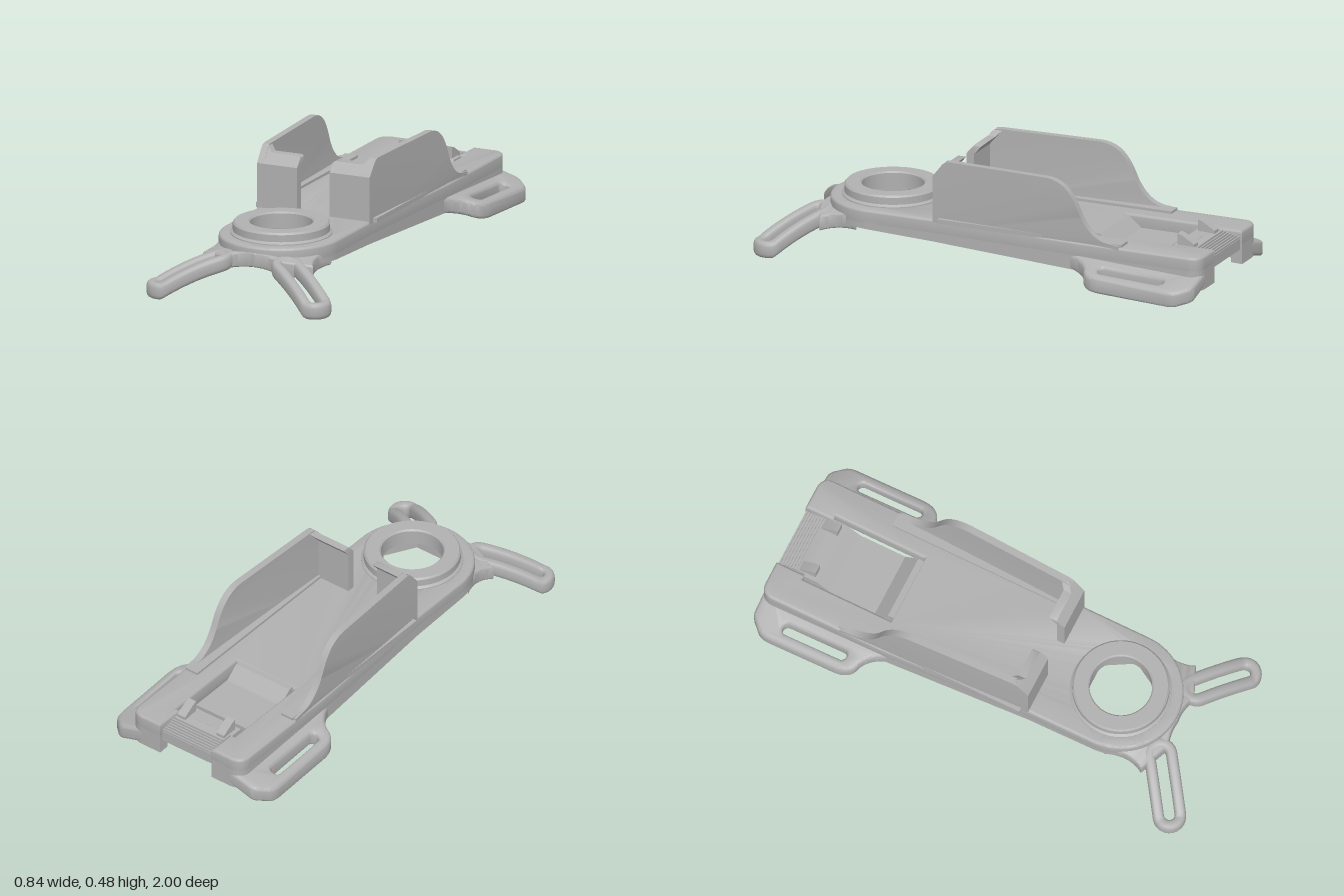
import * as THREE from 'three';
import { toCreasedNormals } from 'three/addons/utils/BufferGeometryUtils.js';

const grey = new THREE.MeshStandardMaterial({ color: 0xb0b0b0 });
grey.name = 'grey plastic';

// Move every vertex by a rule
function warp(geo, rule) {
  const p = geo.attributes.position, v = new THREE.Vector3();
  for (let i = 0; i < p.count; i++) {
    rule(v.fromBufferAttribute(p, i));
    p.setXYZ(i, v.x, v.y, v.z);
  }
  return geo;
}

// Mirror across x, keeping faces outward
function mirrored(geo) {
  const g = geo.index ? geo.toNonIndexed() : geo.clone();
  g.scale(-1, 1, 1);
  for (const a of Object.values(g.attributes)) {
    for (let i = 0; i < a.count; i += 3) {
      for (let k = 0; k < a.itemSize; k++) {
        const t = a.getComponent(i, k);
        a.setComponent(i, k, a.getComponent(i + 2, k));
        a.setComponent(i + 2, k, t);
      }
    }
  }
  return g;
}

// Plan shape (x, z) extruded between two heights
function plan(shape, y0, y1, bevel = 0) {
  const g = new THREE.ExtrudeGeometry(shape, {
    depth: y1 - y0 - 2 * bevel, curveSegments: 32, bevelEnabled: bevel > 0,
    bevelSize: bevel, bevelThickness: bevel, bevelOffset: -bevel, bevelSegments: 4,
  });
  return g.rotateX(Math.PI / 2).translate(0, y1 - bevel, 0);
}

// Side profile (z, y) extruded between two x positions
function side(shape, x0, x1) {
  const g = new THREE.ExtrudeGeometry(shape, { depth: x1 - x0, bevelEnabled: false, curveSegments: 16 });
  return g.rotateY(-Math.PI / 2).translate(x1, 0, 0);
}

const poly = (pts) => new THREE.Shape(pts.map(([a, b]) => new THREE.Vector2(a, b)));
const circle = (x, z, r) => new THREE.Path().absarc(x, z, r, 0, Math.PI * 2, false);

// Body outline with a stepped notch (half width, z pairs) at the back
function bodyShape(rear, step, inner, front) {
  const s = new THREE.Shape();
  s.moveTo(rear, -1);
  s.lineTo(0.23, -1);
  s.quadraticCurveTo(0.29, -1, 0.29, -0.94);
  s.lineTo(0.29, -0.45);
  s.lineTo(0.26, 0.23);
  s.lineTo(0.26, 0.53);
  s.absarc(0, 0.53, 0.26, 0, Math.PI, false);
  s.lineTo(-0.26, 0.23);
  s.lineTo(-0.29, -0.45);
  s.lineTo(-0.29, -0.94);
  s.quadraticCurveTo(-0.29, -1, -0.23, -1);
  for (const [x, z] of [[-rear, -1], [-rear, step], [-inner, step], [-inner, front],
    [inner, front], [inner, step], [rear, step]]) s.lineTo(x, z);
  s.closePath();
  s.holes.push(circle(0, 0.53, 0.19));
  return s;
}

const armDrop = (s) => 0.65 * Math.min(s, 0.45) ** 2;

// Rounded bar swept around a long slot, drooping toward the tip
function slottedArm() {
  const path = new THREE.Shape();
  path.absarc(0.43, 0, 0.046, -Math.PI / 2, Math.PI / 2, false);
  path.absarc(0.2, 0, 0.046, Math.PI / 2, Math.PI * 1.5, false);
  path.closePath();
  const n = 96, m = 20, pos = [], idx = [];
  const pts = path.getSpacedPoints(n).slice(0, n);
  const soft = (c) => Math.sign(c) * Math.abs(c) ** 0.7;
  for (let i = 0; i < n; i++) {
    const t = pts[(i + 1) % n].clone().sub(pts[(i + n - 1) % n]).normalize();
    for (let j = 0; j < m; j++) {
      const a = (j / m) * Math.PI * 2, w = 0.024 * soft(Math.cos(a));
      const s = pts[i].x + t.y * w;
      pos.push(s, 0.167 - armDrop(s) + 0.035 * soft(Math.sin(a)), pts[i].y - t.x * w);
      const i2 = ((i + 1) % n) * m, j2 = (j + 1) % m;
      idx.push(i * m + j, i * m + j2, i2 + j, i * m + j2, i2 + j2, i2 + j);
    }
  }
  const g = new THREE.BufferGeometry();
  g.setAttribute('position', new THREE.Float32BufferAttribute(pos, 3));
  g.setIndex(idx);
  g.computeVertexNormals();
  return g.rotateY(-0.62).translate(0, 0, 0.68);
}

export function createModel() {
  const model = new THREE.Group();
  const add = (name, geo, crease = 0.6) => {
    const mesh = new THREE.Mesh(crease ? toCreasedNormals(geo, crease) : geo, grey);
    mesh.name = name;
    model.add(mesh);
  };
  const addPair = (name, geo, crease) => {
    add(name + 'Left', geo, crease);
    add(name + 'Right', mirrored(geo), crease);
  };

  // Body: plain upper deck over a tapering lower shell with screw holes
  add('upperDeck', plan(bodyShape(0.135, -0.87, 0.155, -0.46), 0.15, 0.22, 0.012));
  const lower = bodyShape(0.135, -0.95, 0.19, -0.5);
  for (const x of [-0.13, 0.13]) for (const z of [0, -0.3]) lower.holes.push(circle(x, z, 0.016));
  add('lowerShell', warp(plan(lower, 0.1, 0.17), (v) => {
    if (v.y < 0.13) v.y = 0.115 + 0.04 * v.z;
  }));

  // Round collar with a hexagonal pocket beneath
  const ring = [[0.13, 0.2], [0.212, 0.2], [0.212, 0.224], [0.202, 0.232], [0.202, 0.262],
    [0.195, 0.27], [0.136, 0.27], [0.13, 0.264], [0.13, 0.2]];
  add('collar', new THREE.LatheGeometry(ring.map(([r, y]) => new THREE.Vector2(r, y)), 72)
    .translate(0, 0, 0.53));
  const pocket = new THREE.Shape().absarc(0, 0.53, 0.195, 0, Math.PI * 2, false);
  const hex = [];
  for (let i = 0; i < 6; i++) {
    const a = (i * Math.PI) / 3;
    hex.push(new THREE.Vector2(0.15 * Math.cos(a), 0.53 + 0.15 * Math.sin(a)));
  }
  pocket.holes.push(new THREE.Path(hex));
  add('hexPocket', plan(pocket, 0.165, 0.21));

  // Front arms and their root webs
  addPair('frontArm', slottedArm(), 0);
  const web = new THREE.Shape();
  web.moveTo(0.255, 0.58);
  web.quadraticCurveTo(0.212, 0.68, 0.255, 0.75);
  web.lineTo(0.12, 0.81);
  web.quadraticCurveTo(0.06, 0.785, 0, 0.795);
  web.lineTo(0, 0.74);
  web.lineTo(0.14, 0.68);
  web.closePath();
  addPair('armRoot', warp(plan(web, 0.135, 0.2, 0.01), (v) => {
    v.y -= armDrop(Math.max(0, v.x * 0.81 + (v.z - 0.68) * 0.58));
  }));

  // Side walls, flaring outward to the back
  const wall = new THREE.Shape();
  wall.moveTo(0.23, 0.17);
  wall.lineTo(0.23, 0.41);
  wall.lineTo(0.19, 0.46);
  wall.quadraticCurveTo(0.175, 0.48, 0.15, 0.48);
  wall.lineTo(-0.29, 0.48);
  wall.bezierCurveTo(-0.38, 0.48, -0.42, 0.42, -0.45, 0.35);
  wall.bezierCurveTo(-0.48, 0.28, -0.53, 0.23, -0.6, 0.23);
  wall.lineTo(-0.63, 0.225);
  wall.lineTo(-0.63, 0.17);
  wall.closePath();
  addPair('sideWall', warp(side(wall, 0.23, 0.26), (v) => {
    v.x += Math.min(0.03, (0.23 - v.z) * 0.044);
  }));

  // Front returns of the walls, leaning back at the top
  addPair('wallReturn', new THREE.BoxGeometry(0.177, 0.21, 0.035).translate(0.1635, 0.305, 0.2125));
  const cap = poly([[0.075, 0.41], [0.252, 0.41], [0.252, 0.48], [0.24, 0.48], [0.21, 0.452],
    [0.085, 0.452], [0.077, 0.447], [0.075, 0.44]]);
  const capGeo = new THREE.ExtrudeGeometry(cap, { depth: 0.035, bevelEnabled: false });
  addPair('returnTop', warp(capGeo.translate(0, 0, 0.195), (v) => { v.z -= (v.y - 0.41) * 0.86; }));

  // Low rails inside the walls
  addPair('innerRail', new THREE.BoxGeometry(0.06, 0.02, 0.84).translate(0.25, 0.221, -0.22));

  // Strap loops at the back
  const loop = new THREE.Shape();
  loop.moveTo(0.2, -1);
  loop.lineTo(0.33, -1);
  loop.quadraticCurveTo(0.355, -1, 0.375, -0.975);
  loop.lineTo(0.4, -0.95);
  loop.quadraticCurveTo(0.415, -0.93, 0.415, -0.9);
  loop.lineTo(0.415, -0.6);
  loop.quadraticCurveTo(0.415, -0.52, 0.36, -0.505);
  loop.quadraticCurveTo(0.31, -0.48, 0.288, -0.41);
  loop.lineTo(0.2, -0.41);
  loop.closePath();
  const slot = new THREE.Path();
  slot.absarc(0.349, -0.59, 0.022, 0, Math.PI, false);
  slot.absarc(0.349, -0.84, 0.022, Math.PI, Math.PI * 2, false);
  slot.closePath();
  loop.holes.push(slot);
  addPair('strapLoop', warp(plan(loop, -0.035, 0.035, 0.016), (v) => {
    v.y += 0.125 - 0.3 * (v.x - 0.27) + 0.05 * (v.z + 0.6);
  }));

  // Spring latch: dipped tongue, grip ribs and wedge stops
  add('latchTongue', side(poly([[-0.44, 0.218], [-0.48, 0.218], [-0.54, 0.17], [-0.75, 0.17],
    [-0.81, 0.212], [-0.87, 0.212], [-0.87, 0.14], [-0.44, 0.14]].reverse()), -0.14, 0.14));
  add('latchGrip', side(poly([[-0.86, 0.212], [-0.91, 0.208], [-0.995, 0.188], [-0.995, 0.14],
    [-0.86, 0.14]].reverse()), -0.128, 0.128));
  for (let i = 0; i < 7; i++) {
    add('gripRib', new THREE.BoxGeometry(0.256, 0.012, 0.006)
      .translate(0, 0.209 - i * 0.0029, -0.915 - i * 0.0125));
  }
  addPair('latchStop', side(poly([[-0.825, 0.2], [-0.825, 0.262], [-0.845, 0.255], [-0.9, 0.222],
    [-0.9, 0.2]].reverse()), 0.082, 0.122));

  return model;
}
